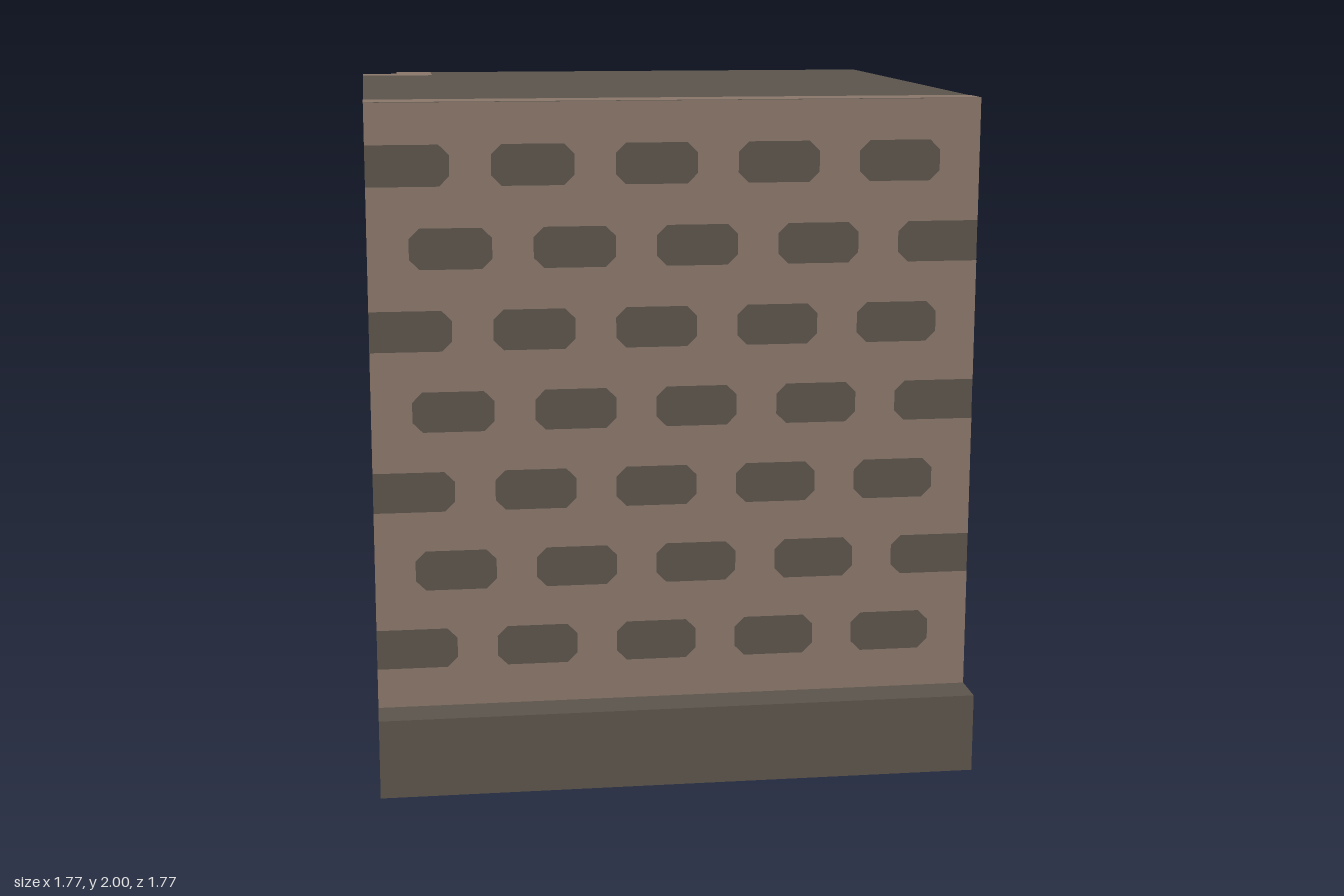
import * as THREE from 'three';

// All sizes are in cells: the block is 15 x 17 x 15 cells.
const U = 2 / 17, W = 7.5, F = 6.5, FLOOR = 2, TOP = 17;
const C = 0.25;   // chamfer of the brick corners
const E = 0.012;  // lift of the mortar faces above the brick
const ROWS_A = [3, 7, 11, 15]; // rows whose bricks run off the left edge
const ROWS_B = [5, 9, 13];     // rows whose bricks run off the right edge

const shapeOf = (pts) => new THREE.Shape(pts.map(([x, y]) => new THREE.Vector2(x, y)));
const rect = (x0, y0, x1, y1) => shapeOf([[x0, y0], [x1, y0], [x1, y1], [x0, y1]]);

const octagon = (x0, y0, x1, y1) => shapeOf([
  [x0 + C, y0], [x1 - C, y0], [x1, y0 + C], [x1, y1 - C],
  [x1 - C, y1], [x0 + C, y1], [x0, y1 - C], [x0, y0 + C],
]);

// Mortar spans left between the brick rows that reach a corner
function spans(rows) {
  const cuts = [FLOOR, ...rows.flatMap((r) => [r, r + 1]), TOP];
  const out = [];
  for (let i = 0; i < cuts.length; i += 2) out.push([cuts[i], cuts[i + 1]]);
  return out;
}

// Corner mortar: square at the corner s, chamfered at the far end, square at the top
const cornerStrip = (rows, s, d) => spans(rows).map(([y0, y1]) => {
  const c = y1 === TOP ? 0 : C;
  return shapeOf([
    [s, y0], [s + d * (1 - C), y0], [s + d, y0 + C],
    [s + d, y1 - c], [s + d * (1 - c), y1], [s, y1],
  ]);
});

// Front mortar sheet, with edge bricks cut from its outline and the rest as holes
function frontMortar() {
  const pts = [[-W, FLOOR], [W, FLOOR]];
  for (const y of ROWS_B) {
    pts.push([W, y], [5.5 + C, y], [5.5, y + C], [5.5, y + 1 - C], [5.5 + C, y + 1], [W, y + 1]);
  }
  pts.push([W, TOP], [-W, TOP]);
  for (const y of [...ROWS_A].reverse()) {
    pts.push([-W, y + 1], [-5.5 - C, y + 1], [-5.5, y + 1 - C], [-5.5, y + C], [-5.5 - C, y], [-W, y]);
  }
  const sheet = shapeOf(pts);
  for (let i = 0; i < 4; i++) {
    for (const y of ROWS_A) sheet.holes.push(octagon(-4.5 + 3 * i, y, -2.5 + 3 * i, y + 1));
    for (const y of ROWS_B) sheet.holes.push(octagon(-6.5 + 3 * i, y, -4.5 + 3 * i, y + 1));
  }
  return sheet;
}

export function createModel() {
  const brick = new THREE.MeshStandardMaterial({ color: 0x5c554d });
  brick.name = 'dark brick';
  const mortar = new THREE.MeshStandardMaterial({ color: 0x8b776a });
  mortar.name = 'brown mortar';

  const group = new THREE.Group();
  group.name = 'brickBlock';
  const add = (name, geometry, material) => {
    const mesh = new THREE.Mesh(geometry, material);
    mesh.name = name;
    group.add(mesh);
    return mesh;
  };
  // Flat mortar face turned about y and moved out to its wall
  const face = (name, shapes, turn, x, z) => {
    const mesh = add(name, new THREE.ShapeGeometry(shapes), mortar);
    mesh.rotation.y = turn;
    mesh.position.set(x, 0, z);
  };

  // Plinth
  add('plinth', new THREE.BoxGeometry(2 * W, FLOOR, 2 * W), brick).position.y = FLOOR / 2;

  // Body with set-back front and a notched back corner
  const plan = shapeOf([[-W, -F], [W, -F], [W, W], [-F, W], [-F, F], [-W, F]]);
  const body = new THREE.ExtrudeGeometry(plan, { depth: TOP - FLOOR, bevelEnabled: false });
  add('body', body.rotateX(-Math.PI / 2).translate(0, FLOOR, 0), brick);

  // Front wall mortar and its returns on both sides
  const q = Math.PI / 2;
  face('frontMortar', frontMortar(), 0, 0, F + E);
  face('frontReturnLeft', cornerStrip(ROWS_B, -F, 1), q, W + E, 0);
  face('frontReturnRight', cornerStrip(ROWS_A, F, -1), -q, -W - E, 0);

  // Notch mortar: two inner walls and the strips beside them
  face('notchSideStrip', cornerStrip(ROWS_B, -F, 1), -q, -W - E, 0);
  face('notchBackStrip', cornerStrip(ROWS_B, F, -1), 2 * q, 0, -W - E);
  const wall = (x0, x1) => spans(ROWS_B).map(([y0, y1]) => rect(x0, y0, x1, y1));
  face('notchSideWall', wall(-W, -F), -q, -F - E, 0);
  face('notchBackWall', wall(F, W), 2 * q, 0, -F - E);

  // Mortar on the top: front strip and an L around the notch
  const corner = shapeOf([
    [-W, 5.5], [-5.5 - C / 2, 5.5], [-5.5, 5.5 + C / 2], [-5.5, W], [-F, W], [-F, F], [-W, F],
  ]);
  const topMortar = new THREE.ShapeGeometry([rect(-W, -F, W, -5.5), corner]);
  add('topMortar', topMortar.rotateX(-q).translate(0, TOP + E, 0), mortar);

  group.scale.setScalar(U);
  return group;
}
